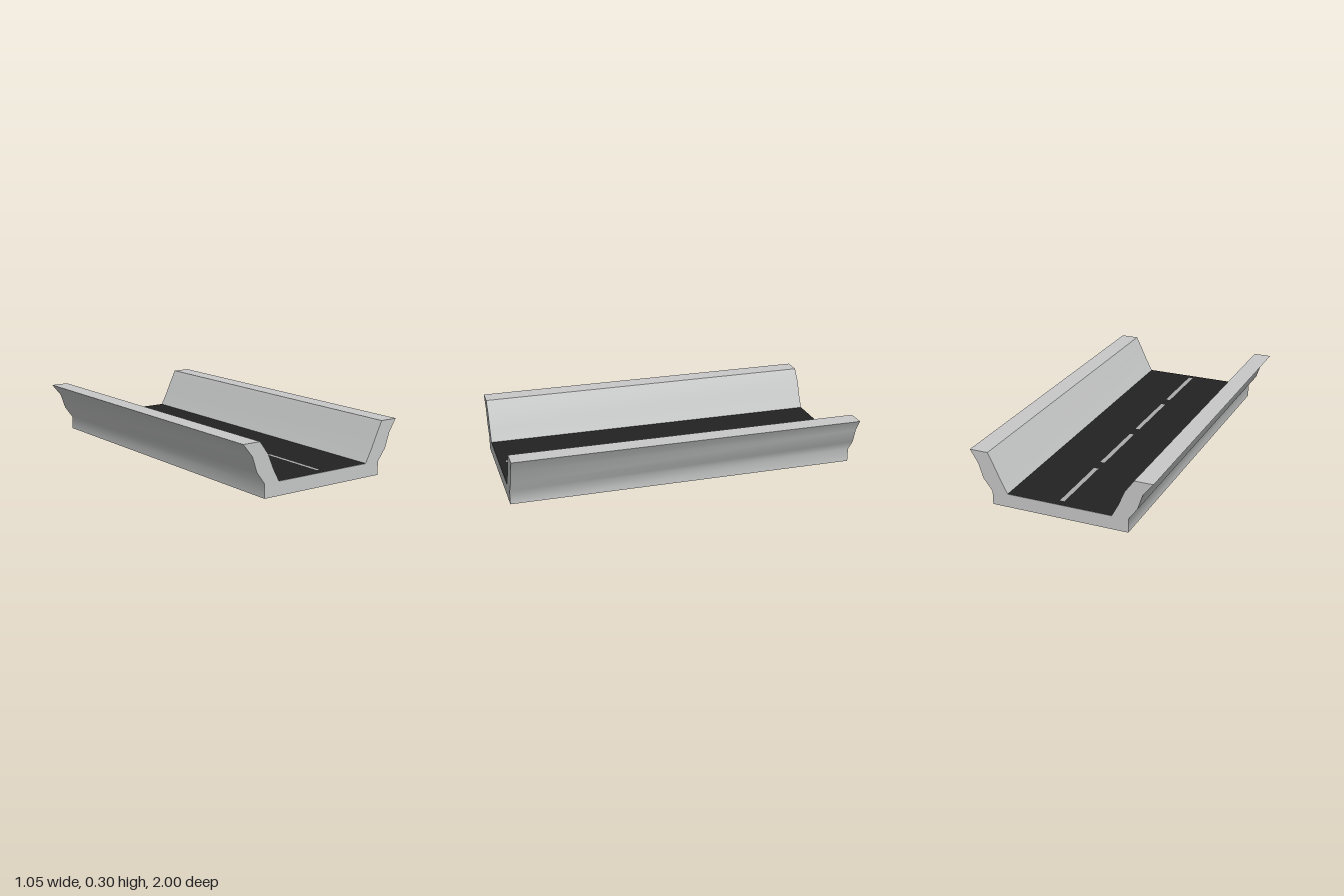
import * as THREE from 'three';
import { toCreasedNormals } from 'three/addons/utils/BufferGeometryUtils.js';

export function createModel() {
  const model = new THREE.Group();
  model.name = 'roadTrough';
  const concrete = new THREE.MeshStandardMaterial({ name: 'concrete grey', color: 0xc7c9c8 });
  const asphalt = new THREE.MeshStandardMaterial({ name: 'asphalt black', color: 0x222222 });
  const paint = new THREE.MeshStandardMaterial({ name: 'lane paint grey', color: 0xa9aaa9 });

  const length = 2, deckY = 0.077, centre = 0.007;

  // Concrete channel: flat deck between two flaring parapets
  const profile = [
    [-0.387, 0], [0.4, 0], [0.4, 0.077], [0.451, 0.144], [0.479, 0.229], [0.524, 0.3],
    [0.418, 0.3], [0.383, 0.229], [0.345, 0.147], [0.308, deckY],
    [-0.294, deckY], [-0.332, 0.147], [-0.367, 0.229], [-0.419, 0.3],
    [-0.524, 0.3], [-0.466, 0.229], [-0.437, 0.144], [-0.387, 0.077],
  ].map(([x, y]) => new THREE.Vector2(x, y));
  const channelGeometry = new THREE.ExtrudeGeometry(new THREE.Shape(profile), {
    depth: length, bevelEnabled: false,
  });
  channelGeometry.translate(0, 0, -length / 2);
  const channel = new THREE.Mesh(toCreasedNormals(channelGeometry, 0.75), concrete);
  channel.name = 'concreteChannel';
  model.add(channel);

  // Thin horizontal faces lying on the deck
  const addSurface = (name, width, depth, y, z, material) => {
    const mesh = new THREE.Mesh(new THREE.PlaneGeometry(width, depth).rotateX(-Math.PI / 2), material);
    mesh.name = name;
    mesh.position.set(centre, y, z);
    model.add(mesh);
  };
  addSurface('roadSurface', 0.602, length, deckY + 0.001, 0, asphalt);

  // Dashed centre line
  [-0.75, -0.25, 0.25, 0.75].forEach((z, i) =>
    addSurface(`laneDash${i + 1}`, 0.026, 0.418, deckY + 0.003, z, paint));

  return model;
}
